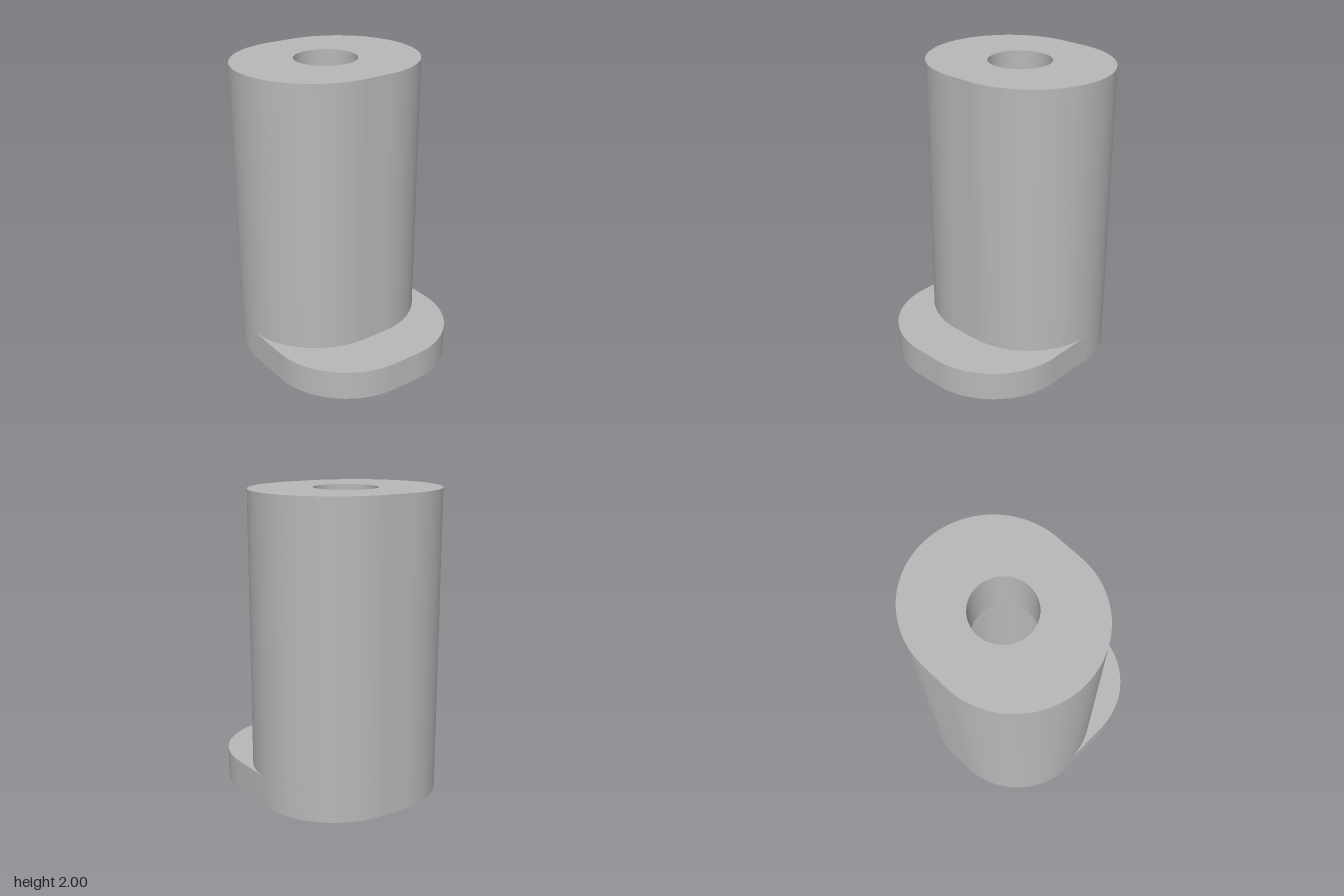
import * as THREE from 'three';
import { toCreasedNormals } from 'three/addons/utils/BufferGeometryUtils.js';

const HALF_WIDTH = 0.627;   // half size along x
const CORNER = 0.538;       // corner radius, leaves short flats front and back
const BACK = -0.71;         // rear face shared by all parts
const BORE_Z = -0.172;      // axis of the bore

// Rounded outline from the shared rear face to the given front z, with a round hole.
// Shape y is -z, so the shape lies flat after rotating about x.
function outline(front, holeRadius) {
  const w = HALF_WIDTH, r = CORNER, top = -BACK, bottom = -front;
  const s = new THREE.Shape();
  s.absarc(w - r, top - r, r, 0, Math.PI / 2, false);
  s.absarc(-w + r, top - r, r, Math.PI / 2, Math.PI, false);
  s.absarc(-w + r, bottom + r, r, Math.PI, Math.PI * 1.5, false);
  s.absarc(w - r, bottom + r, r, Math.PI * 1.5, Math.PI * 2, false);
  s.closePath();
  const hole = new THREE.Path();
  hole.absarc(0, -BORE_Z, holeRadius, 0, Math.PI * 2, true);
  s.holes.push(hole);
  return s;
}

export function createModel() {
  const group = new THREE.Group();
  group.name = 'flangedSpacer';
  const grey = new THREE.MeshStandardMaterial({ color: 0xb8b8b8 });
  grey.name = 'plain grey';

  function addSlab(name, front, holeRadius, y0, y1) {
    const extruded = new THREE.ExtrudeGeometry(outline(front, holeRadius), {
      depth: y1 - y0, bevelEnabled: false, curveSegments: 32,
    });
    extruded.rotateX(-Math.PI / 2);
    extruded.translate(0, y0, 0);
    const mesh = new THREE.Mesh(toCreasedNormals(extruded, Math.PI / 6), grey);
    mesh.name = name;
    group.add(mesh);
  }

  // Foot plate reaching forward, wide-bored column, narrow-bored top
  addSlab('footPlate', 0.71, 0.385, 0, 0.2);
  addSlab('column', 0.367, 0.385, 0.2, 1.6);
  addSlab('columnTop', 0.367, 0.207, 1.6, 2);

  return group;
}
